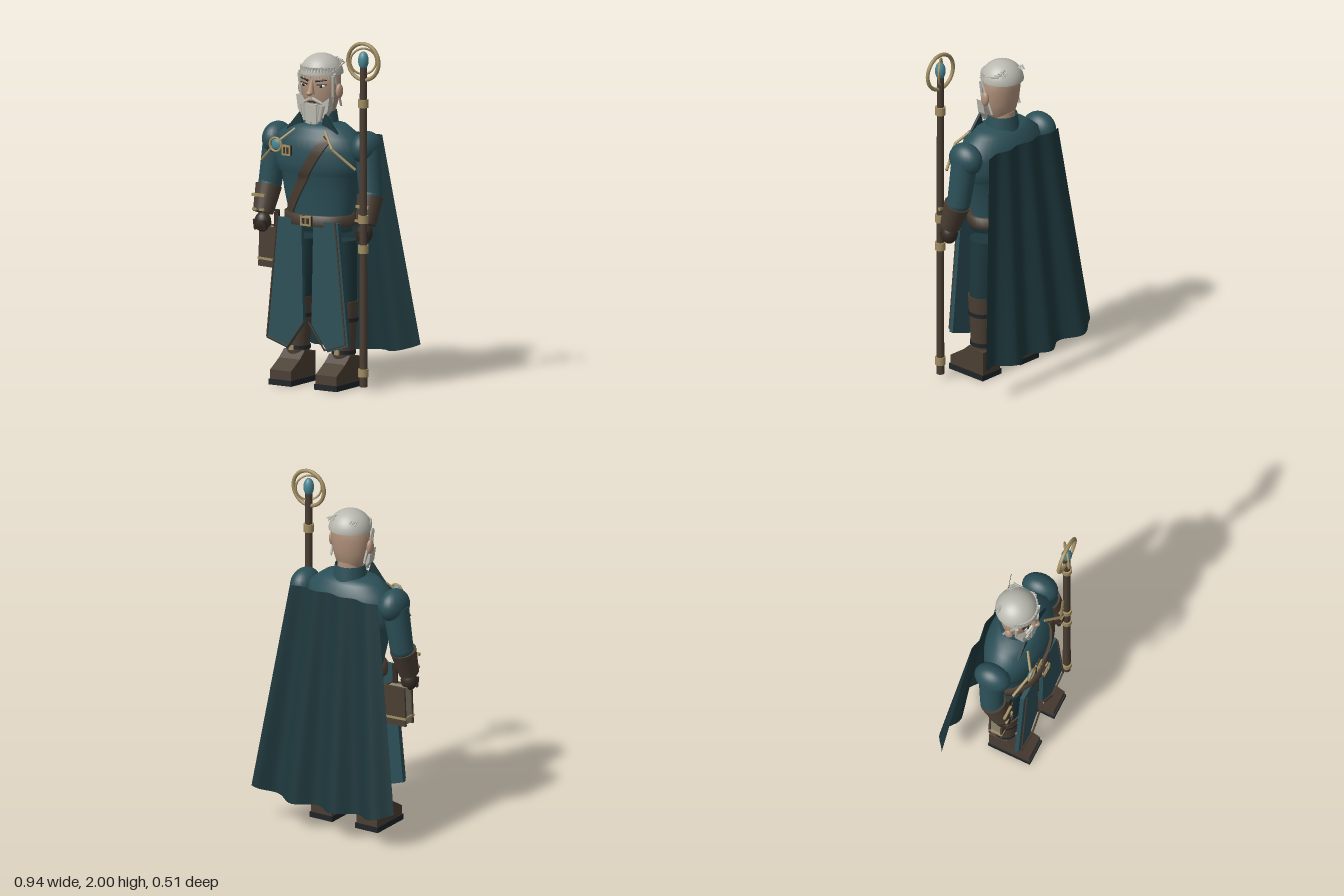
import * as THREE from 'three';

const V = (x, y, z) => new THREE.Vector3(x, y, z);
const mat = (color) => new THREE.MeshStandardMaterial({ color, side: THREE.DoubleSide });
const teal = mat(0x2b4f57), darkTeal = mat(0x1d373c), leather = mat(0x4a3e33), darkLeather = mat(0x352c26);
const gold = mat(0xa08d62), skin = mat(0xb0917b), hair = mat(0xb8b8af), gem = mat(0x4b8793), sole = mat(0x202428);
const SIDES = [-1, 1];

function add(parent, name, geo, material, x = 0, y = 0, z = 0) {
  const m = new THREE.Mesh(geo, material);
  m.name = name;
  m.position.set(x, y, z);
  parent.add(m);
  return m;
}
const box = (p, name, m, w, h, d, x, y, z) => add(p, name, new THREE.BoxGeometry(w, h, d), m, x, y, z);
function ball(p, name, m, rx, ry, rz, x, y, z) {
  const b = add(p, name, new THREE.SphereGeometry(1, 24, 16), m, x, y, z);
  b.scale.set(rx, ry, rz);
  return b;
}
// tapered rod from a (radius ra) to b (radius rb)
function rod(p, name, m, a, b, ra, rb = ra, sides = 16) {
  const dir = b.clone().sub(a);
  const r = add(p, name, new THREE.CylinderGeometry(rb, ra, dir.length(), sides), m);
  r.position.copy(a).lerp(b, 0.5);
  r.quaternion.setFromUnitVectors(V(0, 1, 0), dir.normalize());
  return r;
}
function lathe(p, name, m, profile, depth, z) {
  const l = add(p, name, new THREE.LatheGeometry(profile.map(([r, y]) => new THREE.Vector2(r, y)), 40), m, 0, 0, z);
  l.scale.z = depth;
  return l;
}
function plate(p, name, m, points, depth, z) {
  const shape = new THREE.Shape(points.map(([x, y]) => new THREE.Vector2(x, y)));
  return add(p, name, new THREE.ExtrudeGeometry(shape, { depth, bevelEnabled: false }), m, 0, 0, z);
}

// torso outline: radius, height
const TORSO = [[0.001, 0.885], [0.2, 0.885], [0.2, 0.98], [0.228, 1.1], [0.243, 1.2], [0.268, 1.215], [0.28, 1.27],
  [0.282, 1.35], [0.26, 1.42], [0.2, 1.465], [0.165, 1.49], [0.08, 1.5]];
function torsoFront(x, y) {
  const i = Math.max(2, TORSO.findIndex((q) => q[1] >= y));
  const [r0, y0] = TORSO[i - 1], [r1, y1] = TORSO[i];
  const r = r0 + (r1 - r0) * (y - y0) / (y1 - y0 || 1);
  return 0.065 + 0.6 * Math.sqrt(Math.max(0, r * r - x * x));
}

function buildTorso(g) {
  lathe(g, 'torso', teal, TORSO, 0.6, 0.065);
  lathe(g, 'belt', leather, [[0.19, 0.92], [0.222, 0.92], [0.222, 0.98], [0.19, 0.98]], 0.7, 0.065);
  buckle(g, 0.012, 0.952, 0.225, 0.07, 0.055);
  // shoulder strap draped over the chest
  const geo = new THREE.BoxGeometry(0.056, 0.53, 0.016, 2, 16, 1);
  geo.rotateZ(-0.56);
  geo.translate(-0.01, 1.2, 0);
  const p = geo.attributes.position;
  for (let i = 0; i < p.count; i++) p.setZ(i, p.getZ(i) + torsoFront(p.getX(i), p.getY(i)) + 0.008);
  geo.computeVertexNormals();
  add(g, 'chestStrap', geo, leather);
  // collar open to the front, with lapels
  add(g, 'collar', new THREE.CylinderGeometry(0.085, 0.1, 0.1, 28, 1, true, 0.6, Math.PI * 2 - 1.2), teal, 0, 1.51, 0.052);
  for (const s of SIDES) {
    plate(g, 'lapel', darkTeal, [[0.085 * s, 1.555], [0.175 * s, 1.45], [0.05 * s, 1.44]], 0.014, 0.138);
    const cord = [V(0.1 * s, 1.46, 0.17), V(0.19 * s, 1.375, 0.235), V(0.315 * s, 1.265, 0.185)];
    for (let i = 0; i < 2; i++) rod(g, 'cloakCord', gold, cord[i], cord[i + 1], 0.008);
  }
  add(g, 'broochRing', new THREE.TorusGeometry(0.038, 0.007, 10, 28), gold, -0.187, 1.37, 0.24);
  ball(g, 'broochGem', gem, 0.032, 0.032, 0.012, -0.187, 1.37, 0.232);
  buckle(g, -0.11, 1.345, 0.24, 0.058, 0.058);
}
function buckle(g, x, y, z, w, h) {
  box(g, 'buckleBack', darkLeather, w, h, 0.014, x, y, z);
  for (const s of SIDES) {
    box(g, 'buckleFrame', gold, w, 0.01, 0.02, x, y + s * (h / 2 - 0.005), z + 0.004);
    box(g, 'buckleFrame', gold, 0.01, h, 0.02, x + s * (w / 2 - 0.005), y, z + 0.004);
  }
  box(g, 'bucklePin', gold, 0.006, h * 0.7, 0.02, x, y, z + 0.004);
}

function buildArm(g, s) {
  ball(g, 'shoulder', teal, 0.078, 0.095, 0.107, 0.3 * s, 1.37, 0.05);
  rod(g, 'upperArm', teal, V(0.308 * s, 1.36, 0.05), V(0.34 * s, 1.11, 0.065), 0.075, 0.066, 24);
  ball(g, 'elbow', teal, 0.066, 0.06, 0.068, 0.34 * s, 1.11, 0.067);
  rod(g, 'bracer', leather, V(0.342 * s, 1.1, 0.075), V(0.346 * s, 0.95, 0.128), 0.075, 0.058, 24);
  box(g, 'bracerBand', gold, 0.085, 0.016, 0.014, 0.35 * s, 1.055, 0.168);
  for (const k of SIDES) box(g, 'bracerStud', gold, 0.03, 0.014, 0.012, (0.346 + 0.024 * k) * s, 0.975, 0.176);
  ball(g, 'hand', darkLeather, 0.048, 0.058, 0.045, 0.342 * s, 0.9, 0.135);
  for (let i = 0; i < 4; i++) {
    const x = (0.312 + i * 0.021) * s;
    rod(g, 'finger', darkLeather, V(x, 0.915, 0.168), V(x, 0.858, 0.16), 0.012, 0.01, 10);
  }
}

function buildLeg(g, s) {
  const x = 0.153 * s;
  rod(g, 'thigh', darkTeal, V(x * 0.85, 0.83, 0.055), V(x, 0.46, 0.06), 0.092, 0.075, 24);
  rod(g, 'bootShaft', leather, V(x, 0.15, 0.062), V(x, 0.49, 0.062), 0.062, 0.082, 20);
  for (const [y, r] of [[0.385, 0.082], [0.2, 0.07]]) {
    add(g, 'bootStrap', new THREE.CylinderGeometry(r, r, 0.022, 20), sole, x, y, 0.06);
    box(g, 'strapBuckle', gold, 0.03, 0.028, 0.01, x, y, 0.06 + r);
  }
  // foot profile runs along z, extruded across x
  const foot = new THREE.Shape([[-0.01, 0.03], [0.24, 0.03], [0.24, 0.085], [0.15, 0.14], [0.1, 0.185], [-0.01, 0.17]]
    .map(([a, b]) => new THREE.Vector2(a, b)));
  const geo = new THREE.ExtrudeGeometry(foot, { depth: 0.14, bevelEnabled: false });
  geo.translate(0, 0, -0.07);
  geo.rotateY(-Math.PI / 2);
  add(g, 'foot', geo, leather, x);
  box(g, 'sole', sole, 0.152, 0.032, 0.262, x, 0.016, 0.117);
  // front skirt panel with edge trim
  const edge = [[0.205, 0.95], [0.275, 0.255], [0.137, 0.21], [0.028, 0.36], [0.04, 0.95]].map(([a, b]) => [a * s, b]);
  plate(g, 'skirtPanel', teal, edge, 0.025, 0.175);
  for (let i = 0; i < 3; i++) {
    const a = V(edge[i][0] - 0.012 * s, edge[i][1] + 0.012, 0.212), b = V(edge[i + 1][0] - 0.012 * s, edge[i + 1][1] + 0.012, 0.212);
    rod(g, 'skirtTrim', leather, a, b, 0.005, 0.005, 6);
  }
}

function buildHead(g) {
  add(g, 'neck', new THREE.CylinderGeometry(0.068, 0.072, 0.12, 24), skin, 0, 1.52, 0.05);
  lathe(g, 'head', skin, [[0.001, 1.53], [0.06, 1.535], [0.09, 1.575], [0.11, 1.64], [0.12, 1.72], [0.116, 1.79], [0.08, 1.84], [0.001, 1.86]], 0.8, 0.06);
  const cap = add(g, 'hairCap', new THREE.SphereGeometry(0.122, 32, 12, 0, Math.PI * 2, 0, Math.PI / 2), hair, 0, 1.77, 0.053);
  cap.scale.y = 0.93;
  const under = add(g, 'hairUnderside', new THREE.CircleGeometry(0.122, 32), hair, 0, 1.77, 0.053);
  under.rotation.x = Math.PI / 2;
  // fringe round the brow and nape
  for (let i = 0; i < 17; i++) {
    const t = -1.2 + i * 0.15, sx = Math.sin(t), cz = Math.cos(t);
    rod(g, 'fringeStrand', hair, V(0.113 * sx, 1.815, 0.053 + 0.113 * cz), V(0.12 * sx, 1.765 - (i % 3) * 0.007, 0.05 + 0.12 * cz), 0.009, 0.003, 6);
    rod(g, 'crownStrand', hair, V((i - 8) * 0.011, 1.845, -0.015), V((i - 8) * 0.011, 1.825 + (i % 2) * 0.01, -0.037), 0.005, 0.003, 6);
  }
  // loose strands swept along the left of the crown
  for (let i = 0; i < 5; i++) {
    const x = 0.055 + i * 0.013;
    rod(g, 'sweptStrand', hair, V(x, 1.855 - i * 0.006, -0.02), V(x + 0.006, 1.815 - i * 0.006, 0.15 - i * 0.008), 0.005, 0.004, 6);
  }
  for (const s of SIDES) {
    ball(g, 'ear', skin, 0.018, 0.042, 0.026, 0.127 * s, 1.68, 0.065);
    rod(g, 'sideLock', hair, V(0.118 * s, 1.78, 0.1), V(0.112 * s, 1.59, 0.025), 0.009, 0.007, 8);
    rod(g, 'sideLock', hair, V(0.115 * s, 1.77, 0.11), V(0.105 * s, 1.62, 0.1), 0.01, 0.008, 8);
    ball(g, 'eye', mat(0xd8d4c8), 0.024, 0.01, 0.012, 0.058 * s, 1.712, 0.14);
    ball(g, 'iris', sole, 0.009, 0.009, 0.008, 0.058 * s, 1.712, 0.149);
    rod(g, 'upperLid', darkLeather, V(0.032 * s, 1.718, 0.154), V(0.085 * s, 1.722, 0.134), 0.004);
    rod(g, 'eyebrow', darkLeather, V(0.025 * s, 1.738, 0.156), V(0.088 * s, 1.748, 0.132), 0.006, 0.004);
    rod(g, 'moustache', hair, V(0.004 * s, 1.638, 0.157), V(0.06 * s, 1.612, 0.142), 0.011, 0.007);
    // beard: cheek band and hanging locks
    plate(g, 'cheekBeard', hair, [[0.112 * s, 1.65], [0.04 * s, 1.6], [0.025 * s, 1.53], [0.07 * s, 1.53], [0.1 * s, 1.57]], 0.05, 0.095);
    for (let i = 0; i < 3; i++) rod(g, 'beardLock', hair, V((0.015 + i * 0.025) * s, 1.6, 0.14), V((0.013 + i * 0.018) * s, 1.49 + i * 0.01, 0.15), 0.02, 0.01, 6);
  }
  box(g, 'mouth', darkLeather, 0.05, 0.007, 0.008, 0, 1.618, 0.152);
  box(g, 'beardFront', hair, 0.07, 0.11, 0.03, 0, 1.55, 0.148);
  rod(g, 'beardTip', skin, V(0, 1.5, 0.145), V(0, 1.46, 0.15), 0.022, 0.002, 6);
  rod(g, 'nose', skin, V(0, 1.665, 0.165), V(0, 1.745, 0.15), 0.022, 0.008, 8);
  ball(g, 'noseTip', skin, 0.018, 0.014, 0.02, 0, 1.67, 0.177);
}

function buildCape(g) {
  const geo = new THREE.PlaneGeometry(1, 1, 48, 16);
  const p = geo.attributes.position;
  for (let i = 0; i < p.count; i++) {
    const u = p.getX(i) + 0.5, t = 0.5 - p.getY(i), e = 2 * u - 1;
    const hem = 0.165 + 0.055 * e ** 4;
    const fold = Math.cos((u - 0.13) * Math.PI * 2 / 0.29) * (0.01 + 0.024 * t);
    p.setXYZ(i, e * (0.29 + 0.168 * t), 1.42 + (hem - 1.42) * t, -0.113 - 0.112 * t - fold);
  }
  geo.computeVertexNormals();
  add(g, 'cape', geo, darkTeal);
}

function buildBook(g) {
  const book = new THREE.Group();
  book.name = 'beltBook';
  book.position.set(-0.298, 0.76, 0.1);
  book.rotation.z = -0.04;
  g.add(book);
  for (const s of SIDES) box(book, 'bookCover', leather, 0.135, 0.23, 0.012, 0, 0, s * 0.036);
  box(book, 'bookSpine', leather, 0.012, 0.23, 0.08, 0.065, 0, 0);
  box(book, 'bookPages', mat(0x8d8470), 0.122, 0.215, 0.062, 0, 0, 0);
  box(book, 'bookClasp', gold, 0.14, 0.014, 0.09, 0, -0.07, 0);
  box(book, 'bookStrap', darkLeather, 0.03, 0.14, 0.012, 0.04, 0.15, 0.03);
}

function buildStaff(g) {
  const staff = new THREE.Group();
  staff.name = 'staff';
  staff.position.set(0.355, 0, 0.183);
  g.add(staff);
  rod(staff, 'staffShaft', leather, V(0, 0.035, 0), V(0, 1.86, 0), 0.023, 0.02, 12);
  for (const y of [0.115, 0.82, 0.99, 1.65]) add(staff, 'staffBand', new THREE.CylinderGeometry(0.03, 0.03, 0.046, 16), gold, 0, y, 0);
  add(staff, 'staffRing', new THREE.TorusGeometry(0.103, 0.011, 10, 40), gold, 0, 1.887, 0);
  add(staff, 'innerRing', new THREE.TorusGeometry(0.073, 0.006, 8, 36), gold, 0, 1.89, 0).rotation.y = 0.64;
  ball(staff, 'staffGem', gem, 0.03, 0.052, 0.03, 0, 1.895, 0);
}

export function createModel() {
  const model = new THREE.Group();
  model.name = 'robedTraveller';
  const body = new THREE.Group();
  body.name = 'body';
  body.position.x = -0.012;
  model.add(body);
  buildTorso(body);
  for (const s of SIDES) {
    buildArm(body, s);
    buildLeg(body, s);
  }
  buildHead(body);
  buildCape(body);
  buildBook(body);
  buildStaff(model);
  return model;
}
